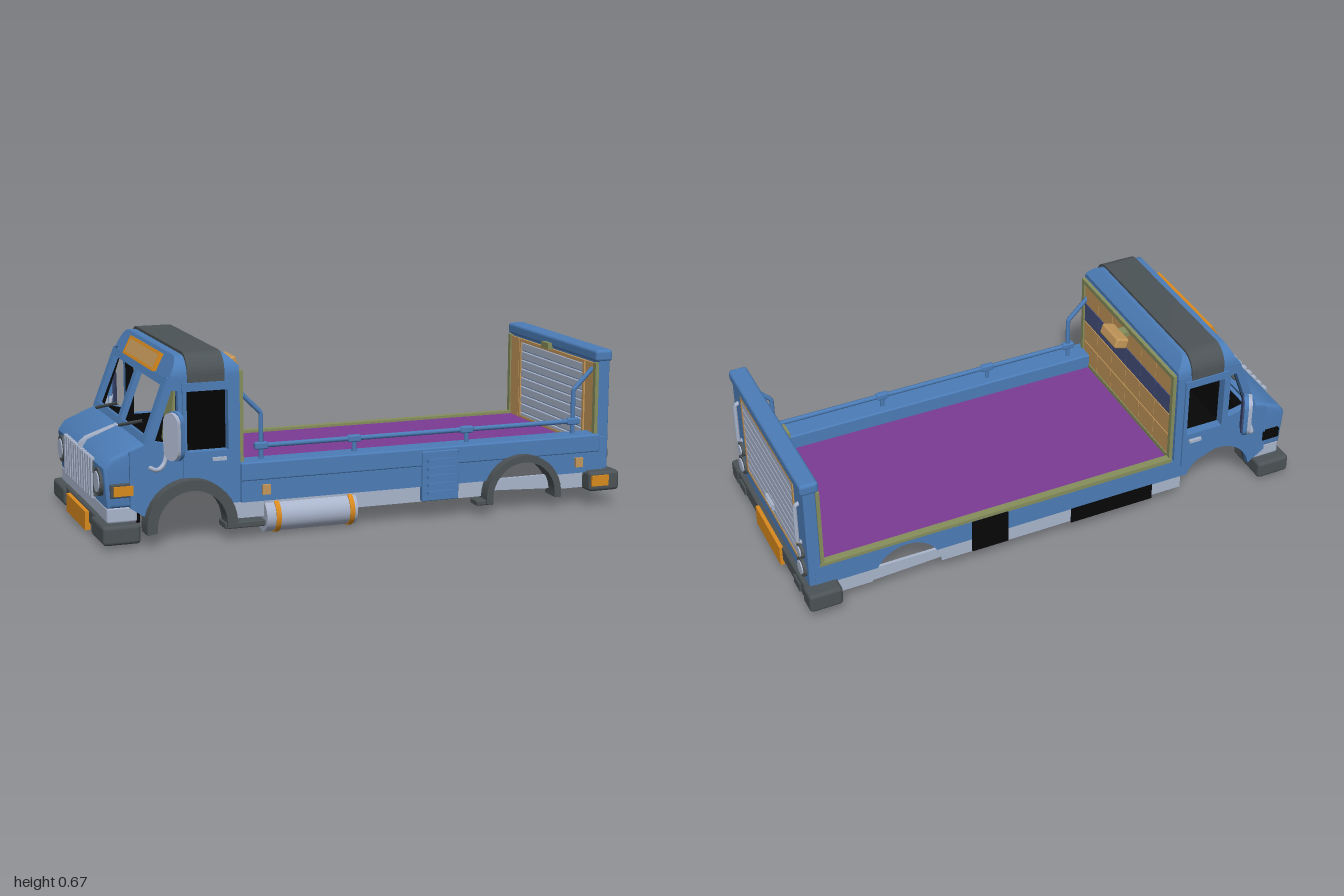
import * as THREE from 'three';
import { toCreasedNormals } from 'three/addons/utils/BufferGeometryUtils.js';
import { RoundedBoxGeometry } from 'three/addons/geometries/RoundedBoxGeometry.js';

const mat = (name, color) => Object.assign(new THREE.MeshStandardMaterial({ color }), { name });

export function createModel() {
  const truck = new THREE.Group();
  truck.name = 'flatbedTruck';
  const blue = mat('bodyBlue', 0x4c7db8), dark = mat('darkPlastic', 0x4c5356), silver = mat('silver', 0xaab5cc);
  const orange = mat('orange', 0xd98a1e), purple = mat('bedPurple', 0x7c3b94), tan = mat('tanPanel', 0xc4975a);
  const olive = mat('oliveTrim', 0x868d5c), navy = mat('navyGlass', 0x434f7c), black = mat('underside', 0x060606);

  const add = (name, geo, m, parent = truck) => {
    const mesh = new THREE.Mesh(geo, m);
    mesh.name = name;
    parent.add(mesh);
    return mesh;
  };
  // Boxes are given by their limits on each axis; r rounds the edges
  const box = (name, m, x0, x1, y0, y1, z0, z1, r = 0) => {
    const s = [x1 - x0, y1 - y0, z1 - z0];
    const mesh = add(name, r ? new RoundedBoxGeometry(...s, 2, r) : new THREE.BoxGeometry(...s), m);
    mesh.position.set((x0 + x1) / 2, (y0 + y1) / 2, (z0 + z1) / 2);
    return mesh;
  };
  const poly = (pts) => new THREE.Shape(pts.map(([x, y]) => new THREE.Vector2(x, y)));
  const hole = (shape, pts) => shape.holes.push(poly(pts));
  const rect = (x0, x1, y0, y1) => [[x0, y0], [x1, y0], [x1, y1], [x0, y1]];
  const extrude = (shape, depth) => toCreasedNormals(
    new THREE.ExtrudeGeometry(shape, { depth, bevelEnabled: false, curveSegments: 10 }), 0.6);
  const slabZ = (name, m, shape, z0, z1) => add(name, extrude(shape, z1 - z0).translate(0, 0, z0), m);
  const slabX = (name, m, shape, x0, x1, parent) => add(name, extrude(shape, x1 - x0).rotateY(Math.PI / 2).translate(x0, 0, 0), m, parent);
  const tube = (name, m, pts, r, smooth = false) => {
    const v = pts.map((p) => new THREE.Vector3(...p));
    const path = new THREE.CurvePath();
    for (let i = 1; i < v.length; i++) path.add(new THREE.LineCurve3(v[i - 1], v[i]));
    return add(name, new THREE.TubeGeometry(smooth ? new THREE.CatmullRomCurve3(v) : path, 24, r, 8), m);
  };
  const discX = (name, m, r, x0, x1, y, z) => {
    const mesh = add(name, new THREE.CylinderGeometry(r, r, x1 - x0, 28).rotateZ(Math.PI / 2), m);
    mesh.position.set((x0 + x1) / 2, y, z);
    return mesh;
  };
  const frameX = (name, m, x0, x1, z0, z1, y0, y1, w, parent) => {
    const s = poly(rect(-z1, -z0, y0, y1));
    hole(s, rect(-z1 + w, -z0 - w, y0 + w, y1 - w));
    return slabX(name, m, s, x0, x1, parent);
  };
  const capsule = (r, h) => {
    const s = new THREE.Shape();
    s.absarc(0, h, r, 0, Math.PI, false);
    s.absarc(0, -h, r, Math.PI, Math.PI * 2, false);
    return s;
  };
  const roofSection = (w, y0, y1, r) => {
    const s = new THREE.Shape();
    s.moveTo(-w, y0); s.lineTo(w, y0); s.lineTo(w, y1 - r);
    s.absarc(w - r, y1 - r, r, 0, Math.PI / 2, false);
    s.absarc(-w + r, y1 - r, r, Math.PI / 2, Math.PI, false);
    return s;
  };
  // Side strip with a wheel arch cut from its lower edge
  const archedStrip = (x0, x1, y0, y1, cx, r) => {
    const s = new THREE.Shape(), a = Math.asin((y0 - 0.07) / r);
    s.moveTo(x1, y0); s.lineTo(x1, y1); s.lineTo(x0, y1); s.lineTo(x0, y0);
    s.absarc(cx, 0.07, r, Math.PI - a, a, true);
    return s;
  };

  // Bed
  box('bedFloor', purple, -0.48, 0.92, 0.208, 0.216, -0.35, 0.31);
  box('bedUnderside', black, -0.48, 0.92, 0.202, 0.208, -0.36, 0.37);
  box('bedCurb', blue, -0.49, 0.93, 0.206, 0.273, 0.3, 0.395, 0.006);
  box('bedEdgeTrim', olive, -0.48, 0.93, 0.21, 0.226, -0.38, -0.35);
  box('bedFrontTrim', olive, -0.49, -0.475, 0.21, 0.228, -0.35, 0.31);
  box('crossMember', tan, -0.495, -0.478, 0.192, 0.204, 0, 0.36);
  slabZ('leftSidePanel', blue, archedStrip(-0.49, 0.95, 0.13, 0.262, 0.6, 0.138), 0.37, 0.392);
  slabZ('rightSidePanel', blue, archedStrip(-0.49, 0.95, 0.13, 0.214, 0.6, 0.13), -0.38, -0.36);
  for (const s of [1, -1]) slabZ('skirt', silver, archedStrip(-0.4, 0.87, 0.07, 0.13, 0.6, 0.135), s * 0.37 - 0.006, s * 0.37 + 0.006);
  box('rightSkirtPatch', black, -0.4, -0.06, 0.066, 0.132, -0.382, -0.375);
  box('rightVent', black, 0.2, 0.345, 0.075, 0.212, -0.384, -0.372);
  box('leftVent', blue, 0.2, 0.345, 0.075, 0.262, 0.375, 0.4, 0.004);
  for (let i = 0; i < 5; i++) box('ventSlat', blue, 0.22, 0.325, 0.1 + i * 0.03, 0.113 + i * 0.03, 0.395, 0.408);

  // Side rail
  tube('railEnds', blue, [[-0.49, 0.53, 0.34], [-0.4, 0.44, 0.34], [-0.4, 0.27, 0.34]], 0.009);
  tube('railEnds', blue, [[0.92, 0.52, 0.34], [0.84, 0.44, 0.34], [0.84, 0.27, 0.34]], 0.009);
  tube('rail', blue, [[-0.4, 0.32, 0.34], [0.84, 0.32, 0.34]], 0.009);
  for (const x of [-0.4, -0.045, 0.4, 0.84]) {
    tube('railPost', blue, [[x, 0.27, 0.34], [x, 0.32, 0.34]], 0.009);
    box('railClamp', blue, x - 0.025, x + 0.025, 0.307, 0.333, 0.328, 0.352, 0.006);
  }

  // Fuel tank
  discX('fuelTank', silver, 0.058, -0.4, -0.055, 0.066, 0.35);
  for (const x of [-0.365, -0.085]) discX('tankBand', orange, 0.062, x, x + 0.018, 0.066, 0.35);

  // Wheel arches and steps
  for (const [x, ro, ri] of [[-0.68, 0.165, 0.127], [0.6, 0.153, 0.127]]) {
    const s = new THREE.Shape();
    s.absarc(x, 0.07, ro, -0.12, Math.PI + 0.12, false);
    s.absarc(x, 0.07, ri, Math.PI + 0.12, -0.12, true);
    slabZ('wheelArch', dark, s, 0.35, 0.428);
  }
  box('cabStep', dark, -0.56, -0.41, 0.045, 0.068, 0.34, 0.42, 0.005);
  box('rearStep', dark, 0.41, 0.48, 0.045, 0.065, 0.36, 0.42, 0.005);

  // Cab sides, with open windows and a black lining
  const doorWindow = [[-0.685, 0.325], [-0.535, 0.325], [-0.535, 0.54], [-0.685, 0.54]];
  for (const s of [1, -1]) {
    const side = new THREE.Shape();
    side.moveTo(-0.49, 0.13); side.lineTo(-0.49, 0.59); side.lineTo(-0.75, 0.59);
    side.lineTo(-0.835, 0.36); side.lineTo(-0.89, 0.34); side.lineTo(-0.89, 0.14);
    side.lineTo(-0.83, 0.1);
    side.absarc(-0.68, 0.07, 0.145, Math.PI - 0.15, 0.42, true);
    hole(side, doorWindow);
    hole(side, [[-0.8, 0.37], [-0.715, 0.35], [-0.715, 0.545], [-0.738, 0.545]]);
    slabZ('cabSide', blue, side, s * 0.365 - 0.015, s * 0.365 + 0.015);
    slabZ('cabLining', black, side, s * 0.348 - 0.003, s * 0.348 + 0.003);
    const door = poly([[-0.7, 0.235], [-0.53, 0.17], [-0.52, 0.18], [-0.52, 0.57], [-0.7, 0.57]]);
    hole(door, doorWindow);
    slabZ('door', blue, door, s * 0.382 - 0.005, s * 0.382 + 0.005);
    box('doorHandle', silver, -0.595, -0.545, 0.29, 0.302, s * 0.391 - 0.007, s * 0.391 + 0.007);
    box('cabSkirt', silver, -0.53, -0.4, 0.068, 0.14, s * 0.36 - 0.008, s * 0.36 + 0.008);

    // Mirrors
    const mirror = new THREE.Group();
    mirror.name = 'mirror';
    mirror.position.set(-0.75, 0.4, s * 0.45);
    mirror.rotation.y = s * 0.45;
    truck.add(mirror);
    slabX('mirrorRim', blue, capsule(0.042, 0.046), -0.002, 0.014, mirror);
    slabX('mirrorBack', silver, capsule(0.038, 0.046), -0.016, -0.002, mirror);
    slabX('mirrorGlass', navy, capsule(0.031, 0.05), 0.012, 0.018, mirror);
    tube('mirrorArm', silver, [[-0.82, 0.28, s * 0.37], [-0.8, 0.28, s * 0.42], [-0.775, 0.3, s * 0.41], [-0.76, 0.38, s * 0.41], [-0.75, 0.4, s * 0.43]], 0.008, true);
  }
  box('seat', olive, -0.58, -0.545, 0.22, 0.45, -0.31, -0.19, 0.015).rotation.z = -0.12;
  box('markerLightBase', dark, -0.96, -0.87, 0.18, 0.23, 0.365, 0.38, 0.004);
  box('markerLight', orange, -0.95, -0.88, 0.188, 0.222, 0.376, 0.387);
  box('rightMarkerRecess', black, -0.95, -0.88, 0.185, 0.225, -0.384, -0.372);

  // Hood, grille and headlights
  const hood = poly([[-0.955, 0.155], [-0.965, 0.28], [-0.945, 0.308], [-0.845, 0.348], [-0.82, 0.348], [-0.84, 0.24], [-0.85, 0.155]]);
  add('hood', toCreasedNormals(new THREE.ExtrudeGeometry(hood, { depth: 0.71, bevelSize: 0.014, bevelThickness: 0.014, bevelSegments: 3 }).translate(0, 0, -0.355), 0.7), blue);
  slabZ('hoodStripe', silver, poly([[-0.985, 0.28], [-0.96, 0.28], [-0.94, 0.3], [-0.83, 0.345], [-0.83, 0.368], [-0.955, 0.325], [-0.978, 0.305]]), -0.02, 0.02);
  box('apron', silver, -0.97, -0.86, 0.085, 0.145, -0.36, 0.36, 0.01);
  box('grillePanel', dark, -0.983, -0.97, 0.155, 0.285, -0.22, 0.22);
  for (let i = 0; i < 12; i++) box('grilleBar', silver, -0.99, -0.975, 0.15, 0.295, -0.218 + i * 0.0375, -0.195 + i * 0.0375);
  for (const z of [-0.29, 0.29]) {
    discX('headlightRim', dark, 0.05, -0.986, -0.96, 0.225, z);
    discX('headlight', silver, 0.037, -0.99, -0.97, 0.225, z);
  }
  box('cabFloor', black, -0.85, -0.49, 0.202, 0.214, -0.35, 0.35);
  box('dashboard', black, -0.83, -0.77, 0.21, 0.355, -0.35, 0.35);
  box('firewall', black, -0.87, -0.82, 0.135, 0.34, -0.348, 0.348);
  box('hoodUnderside', black, -0.96, -0.85, 0.08, 0.142, -0.35, 0.35);

  // Windshield frame and wipers
  const shield = poly(rect(-0.375, 0.375, 0, 0.24));
  for (const s of [-1, 1]) hole(shield, [[s * 0.02, 0.025], [s * 0.34, 0.025], [s * 0.33, 0.21], [s * 0.02, 0.21]]);
  const frame = add('windshieldFrame', extrude(shield, 0.02).rotateY(-Math.PI / 2), blue);
  frame.position.set(-0.82, 0.358, 0);
  frame.rotation.z = -0.366;
  for (const z of [-0.3, 0.05]) tube('wiper', dark, [[-0.842, 0.37, z], [-0.815, 0.43, z + 0.24]], 0.006);

  // Roof, with a sloped front and a dark cap
  const roof = extrude(roofSection(0.377, 0.575, 0.66, 0.07), 0.262).rotateY(Math.PI / 2).translate(-0.752, 0, 0);
  const p = roof.attributes.position;
  for (let i = 0; i < p.count; i++) {
    const x = p.getX(i), y = p.getY(i);
    p.setX(i, x < -0.6 ? x + (y - 0.575) * 0.5 : x - Math.max(0, y - 0.62));
  }
  add('roof', toCreasedNormals(roof, 0.6), blue);
  slabX('roofCap', dark, roofSection(0.382, 0.568, 0.67, 0.073), -0.68, -0.545);
  for (const s of [1, -1]) for (let i = 0; i < 3; i++)
    box('capSlat', dark, -0.66, -0.565, 0.574 + i * 0.01, 0.579 + i * 0.01, s * 0.382 - 0.003, s * 0.382 + 0.003);
  const sign = new THREE.Group();
  sign.name = 'roofSign';
  sign.position.set(-0.735, 0.617, 0);
  sign.rotation.z = -0.464;
  truck.add(sign);
  frameX('signFrame', orange, -0.01, 0.004, -0.21, 0.21, -0.036, 0.036, 0.01, sign);
  slabX('signPanel', tan, poly(rect(-0.2, 0.2, -0.026, 0.026)), -0.006, 0, sign);

  // Cab rear wall, panelled on the bed side
  box('cabRearWall', blue, -0.505, -0.488, 0.205, 0.6, -0.365, 0.365);
  box('cabRearLining', black, -0.51, -0.504, 0.214, 0.575, -0.345, 0.345);
  frameX('cabWallTrim', olive, -0.488, -0.474, -0.37, 0.37, 0.214, 0.6, 0.018);
  for (const [y0, y1, m] of [[0.232, 0.318, tan], [0.323, 0.41, tan], [0.415, 0.495, navy], [0.5, 0.58, tan]])
    for (let i = 0; i < 6; i++) box('cabWallPanel', m, -0.489, -0.478, y0, y1, -0.347 + i * 0.116, -0.233 + i * 0.116);
  box('lampBracket', olive, -0.49, -0.44, 0.565, 0.585, -0.02, 0.02);
  box('workLamp', tan, -0.45, -0.395, 0.55, 0.592, -0.065, 0.06, 0.008).rotation.z = 0.3;

  // Rear wall with a roller shutter
  box('rearWall', blue, 0.925, 0.972, 0.13, 0.57, -0.378, 0.378, 0.006);
  box('rearTopBeam', blue, 0.912, 0.982, 0.547, 0.592, -0.382, 0.382, 0.012);
  box('innerLatch', olive, 0.895, 0.915, 0.54, 0.565, -0.045, 0.015);
  frameX('shutterFrame', tan, 0.966, 0.976, -0.28, 0.28, 0.19, 0.54, 0.013);
  frameX('innerFrame', tan, 0.915, 0.926, -0.28, 0.28, 0.212, 0.54, 0.013);
  for (let i = 0; i < 9; i++) {
    const y = 0.204 + i * 0.036;
    box('shutterSlat', silver, 0.962, 0.975, y, y + 0.033, -0.267, 0.267, 0.004);
    box('innerSlat', silver, 0.918, 0.93, y, y + 0.033, -0.267, 0.267, 0.004);
  }
  box('shutterBacking', silver, 0.962, 0.973, 0.2, 0.53, -0.267, 0.267);
  frameX('shutterHandle', silver, 0.97, 0.986, -0.038, 0.038, 0.235, 0.26, 0.006);
  box('handleRecess', navy, 0.97, 0.977, 0.24, 0.255, -0.033, 0.033);
  for (const s of [1, -1]) {
    box('innerSidePanel', tan, 0.917, 0.926, 0.216, 0.54, s * 0.322 - 0.035, s * 0.322 + 0.035);
    box('innerEdgeTrim', olive, 0.912, 0.926, 0.216, 0.545, s * 0.368 - 0.01, s * 0.368 + 0.01);
    tube('grabHandle', silver, [[0.965, 0.3, s * 0.322], [0.987, 0.31, s * 0.322], [0.987, 0.47, s * 0.322], [0.965, 0.48, s * 0.322]], 0.008);
    for (const [y, r] of [[0.263, 0.028], [0.19, 0.037]]) {
      discX('rearLampRim', dark, r, 0.96, 0.983, y, s * 0.322);
      discX('rearLamp', silver, r * 0.72, 0.965, 0.988, y, s * 0.322);
    }
    // Bumper corners
    box('rearBumperCorner', dark, 0.868, 0.995, 0.062, 0.138, s * 0.395 - 0.04, s * 0.395 + 0.04, 0.014);
    box('bumperPad', dark, 0.985, 0.997, 0.083, 0.118, s * 0.3 - 0.03, s * 0.3 + 0.03);
    box('frontBumperCorner', dark, -0.995, -0.86, 0.018, 0.088, s * 0.31 - 0.095, s * 0.31 + 0.095, 0.014);
  }
  box('rearBumperLight', orange, 0.875, 0.945, 0.085, 0.125, 0.43, 0.443);
  for (const x of [-0.4, 0.84]) box('sideMarker', tan, x - 0.015, x + 0.015, 0.155, 0.19, 0.385, 0.405);

  // Bumpers and plates
  box('rearBumper', dark, 0.925, 0.99, 0.07, 0.137, -0.37, 0.37, 0.01);
  box('rearPlate', orange, 0.985, 1, 0.052, 0.135, -0.132, 0.132);
  box('frontBumper', dark, -0.985, -0.92, 0.038, 0.095, -0.25, 0.25, 0.01);
  box('frontPlate', orange, -1, -0.98, 0.016, 0.085, -0.15, 0.15);
  return truck;
}
